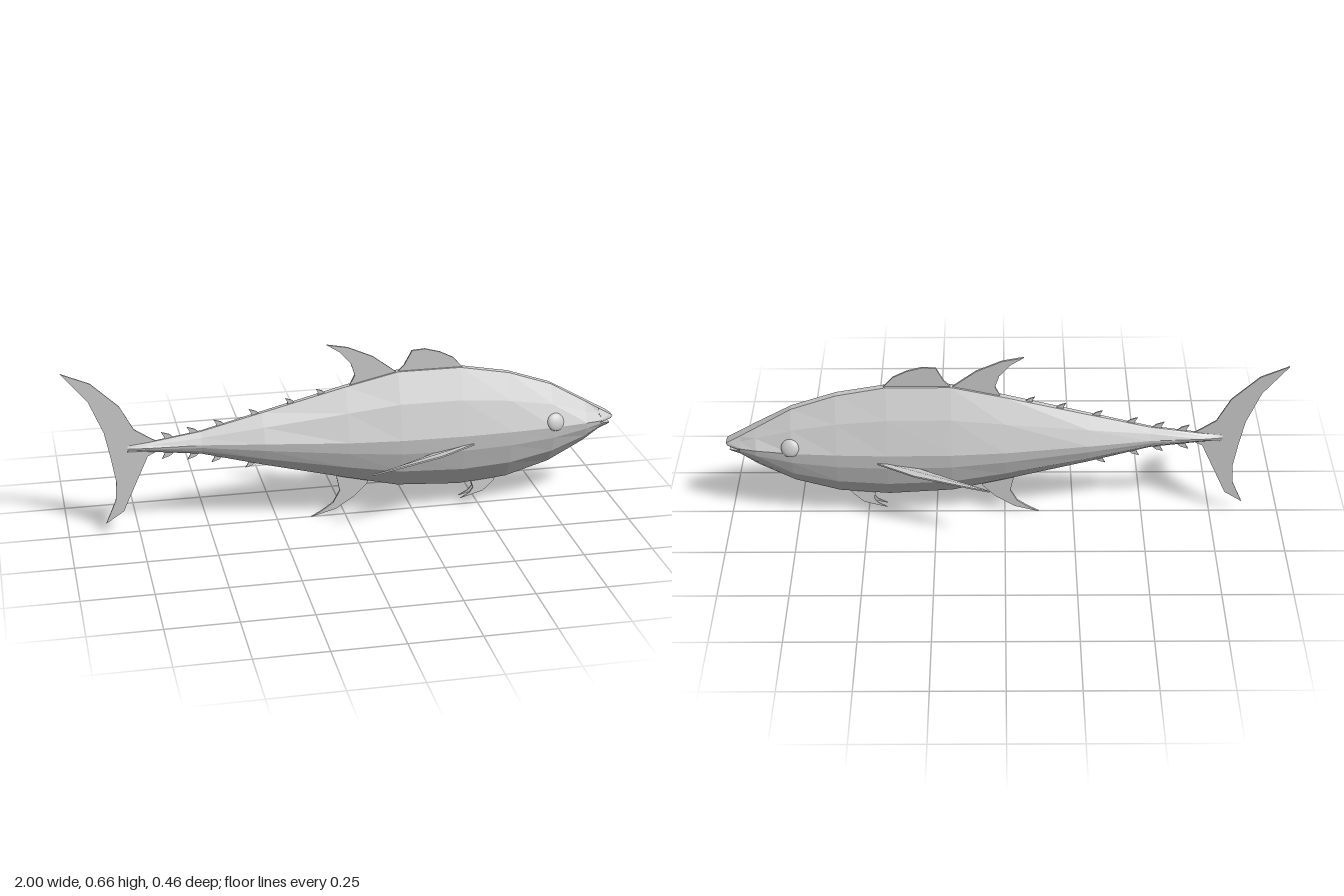
import * as THREE from 'three';
import { ConvexGeometry } from 'three/addons/geometries/ConvexGeometry.js';

const flat = new THREE.MeshStandardMaterial({ color: 0xcccccc, flatShading: true, side: THREE.DoubleSide });
const smooth = new THREE.MeshStandardMaterial({ color: 0xcccccc });

function add(parent, name, geometry, material = flat) {
  const mesh = new THREE.Mesh(geometry, material);
  mesh.name = name;
  parent.add(mesh);
  return mesh;
}

// Body stations: x, top, widest height, bottom, half width, half width of the back ridge
const stations = [
  [-0.78, 0.335, 0.325, 0.31, 0.008, 0.003],
  [-0.71, 0.342, 0.326, 0.308, 0.018, 0.004],
  [-0.52, 0.37, 0.327, 0.285, 0.03, 0.005],
  [-0.3, 0.425, 0.325, 0.225, 0.062, 0.008],
  [0, 0.5, 0.315, 0.15, 0.089, 0.011],
  [0.19, 0.543, 0.312, 0.105, 0.099, 0.012],
  [0.42, 0.543, 0.31, 0.09, 0.099, 0.012],
  [0.6, 0.51, 0.31, 0.105, 0.093, 0.013],
  [0.76, 0.455, 0.31, 0.152, 0.082, 0.014],
  [0.89, 0.38, 0.31, 0.222, 0.063, 0.02],
  [0.95, 0.345, 0.306, 0.265, 0.043, 0.021],
];

function bodyGeometry() {
  const pos = [], index = [];
  for (const [x, top, mid, bottom, w, ridge] of stations) {
    const up = top - mid, down = mid - bottom;
    const half = [
      [ridge, top],
      [Math.max(0.62 * w, ridge), mid + 0.54 * up],
      [w, mid],
      [0.95 * w, mid - 0.26 * down],
      [0.72 * w, mid - 0.63 * down],
      [Math.min(ridge, 0.012), bottom],
    ];
    for (const [z, y] of half) pos.push(x, y, z);
    for (const [z, y] of half.reverse()) pos.push(x, y, -z);
  }
  const n = 12, last = (stations.length - 1) * n;
  for (let i = 0; i < last; i += n) {
    for (let j = 0; j < n; j++) {
      const a = i + j, b = i + (j + 1) % n;
      index.push(a, b, b + n, a, b + n, a + n);
    }
  }
  for (let j = 1; j < n - 1; j++) index.push(0, j + 1, j, last, last + j, last + j + 1);
  const g = new THREE.BufferGeometry();
  g.setAttribute('position', new THREE.Float32BufferAttribute(pos, 3));
  g.setIndex(index);
  const out = g.toNonIndexed();
  out.computeVertexNormals();
  return out;
}

// Thin plate from an outline, centred on z = 0
function plate(outline, thickness) {
  const shape = new THREE.Shape(outline.map(([x, y]) => new THREE.Vector2(x, y)));
  const g = new THREE.ExtrudeGeometry(shape, { depth: thickness, bevelEnabled: false });
  return g.translate(0, 0, -thickness / 2);
}

// Convex jaw from points (x, y, half width), mirrored over z
function jaw(points) {
  return new ConvexGeometry(points.flatMap(([x, y, z]) =>
    [new THREE.Vector3(x, y, z), new THREE.Vector3(x, y, -z)]));
}

// Height of the back (column 1) or belly (column 3) at x
function profile(x, column) {
  const i = Math.max(1, stations.findIndex((s) => s[0] >= x));
  const a = stations[i - 1], b = stations[i];
  return THREE.MathUtils.mapLinear(x, a[0], b[0], a[column], b[column]);
}

export function createModel() {
  const fish = new THREE.Group();
  fish.name = 'fish';
  add(fish, 'body', bodyGeometry());

  // Open mouth
  add(fish, 'upperJaw', jaw([[0.945, 0.348, 0.021], [0.945, 0.306, 0.043], [0.955, 0.3, 0.038],
    [0.99, 0.322, 0.021], [1, 0.315, 0.02], [0.993, 0.306, 0.023]]));
  add(fish, 'lowerJaw', jaw([[0.945, 0.296, 0.041], [0.945, 0.285, 0.034], [0.945, 0.263, 0.012],
    [0.988, 0.291, 0.024], [0.985, 0.281, 0.014]]));

  // Fins on the midline
  add(fish, 'firstDorsalFin', plate([[0.18, 0.53], [0.215, 0.565], [0.243, 0.617], [0.29, 0.62],
    [0.345, 0.605], [0.395, 0.58], [0.435, 0.535]], 0.008));
  add(fish, 'secondDorsalFin', plate([[0.2, 0.53], [0.147, 0.57], [0.1, 0.605], [0.01, 0.645],
    [-0.067, 0.66], [-0.02, 0.63], [0.02, 0.585], [0.035, 0.54], [0.01, 0.49]], 0.008));
  add(fish, 'analFin', plate([[0.09, 0.14], [0.08, 0.115], [0.035, 0.07], [-0.035, 0.025], [-0.125, 0],
    [-0.085, 0.022], [-0.045, 0.05], [-0.02, 0.095], [-0.035, 0.165]], 0.008));
  add(fish, 'tailFin', plate([[-0.66, 0.335], [-0.7, 0.358], [-0.755, 0.395], [-0.803, 0.485],
    [-0.9, 0.577], [-1, 0.62], [-0.91, 0.51], [-0.86, 0.39], [-0.84, 0.29], [-0.825, 0.2],
    [-0.83, 0.128], [-0.867, 0.043], [-0.803, 0.085], [-0.76, 0.18], [-0.71, 0.29], [-0.66, 0.315]], 0.006));

  // Rows of finlets along the back and belly
  const finlets = new THREE.Group();
  finlets.name = 'finlets';
  fish.add(finlets);
  const row = (name, column, sign, xs) => xs.forEach((x) => {
    const y = profile(x, column), size = 0.75 - 0.4 * x;
    const at = (dx, dy) => [x + dx * size, y + sign * dy * size];
    add(finlets, name, plate([at(0.032, -0.006), at(0.008, 0.015), at(-0.02, 0.024),
      at(-0.01, 0.006), at(-0.012, -0.012)], 0.005));
  });
  row('upperFinlet', 1, 1, [-0.09, -0.2, -0.33, -0.455, -0.55, -0.64, -0.715]);
  row('lowerFinlet', 3, -1, [-0.345, -0.465, -0.55, -0.64, -0.715]);

  // Paired parts
  for (const side of [1, -1]) {
    const label = side > 0 ? 'front' : 'back';

    const eye = add(fish, label + 'SideEye', new THREE.SphereGeometry(0.033, 16, 10), smooth);
    eye.scale.z = 0.4;
    eye.position.set(0.765, 0.328, side * 0.072);
    eye.rotation.set(-side * 0.35, side * 0.12, 0);

    // Outline in x and z, laid flat and gently curved
    const pectoral = plate([[0.47, 0.075], [0.45, 0.1], [0.32, 0.165], [0.125, 0.217], [0.055, 0.232],
      [0.08, 0.205], [0.165, 0.155], [0.3, 0.095], [0.31, 0.075]], 0.006);
    pectoral.rotateX(side * Math.PI / 2);
    const p = pectoral.attributes.position;
    for (let i = 0; i < p.count; i++) {
      const x = p.getX(i), out = Math.abs(p.getZ(i)) - 0.1;
      const chord = x - 0.3 + 1.8 * out;
      p.setY(i, p.getY(i) + 0.25 + 0.17 * chord - 0.006 * Math.sin(Math.PI * out / 0.13));
    }
    pectoral.computeVertexNormals();
    add(fish, label + 'SidePectoralFin', pectoral);

    const pelvic = add(fish, label + 'SidePelvicFin', plate([[0.57, 0.115], [0.555, 0.09], [0.515, 0.053],
      [0.43, 0.03], [0.465, 0.05], [0.478, 0.068], [0.465, 0.11]], 0.005));
    pelvic.position.z = side * 0.016;
    pelvic.rotation.x = -side * 0.08;
  }
  return fish;
}
